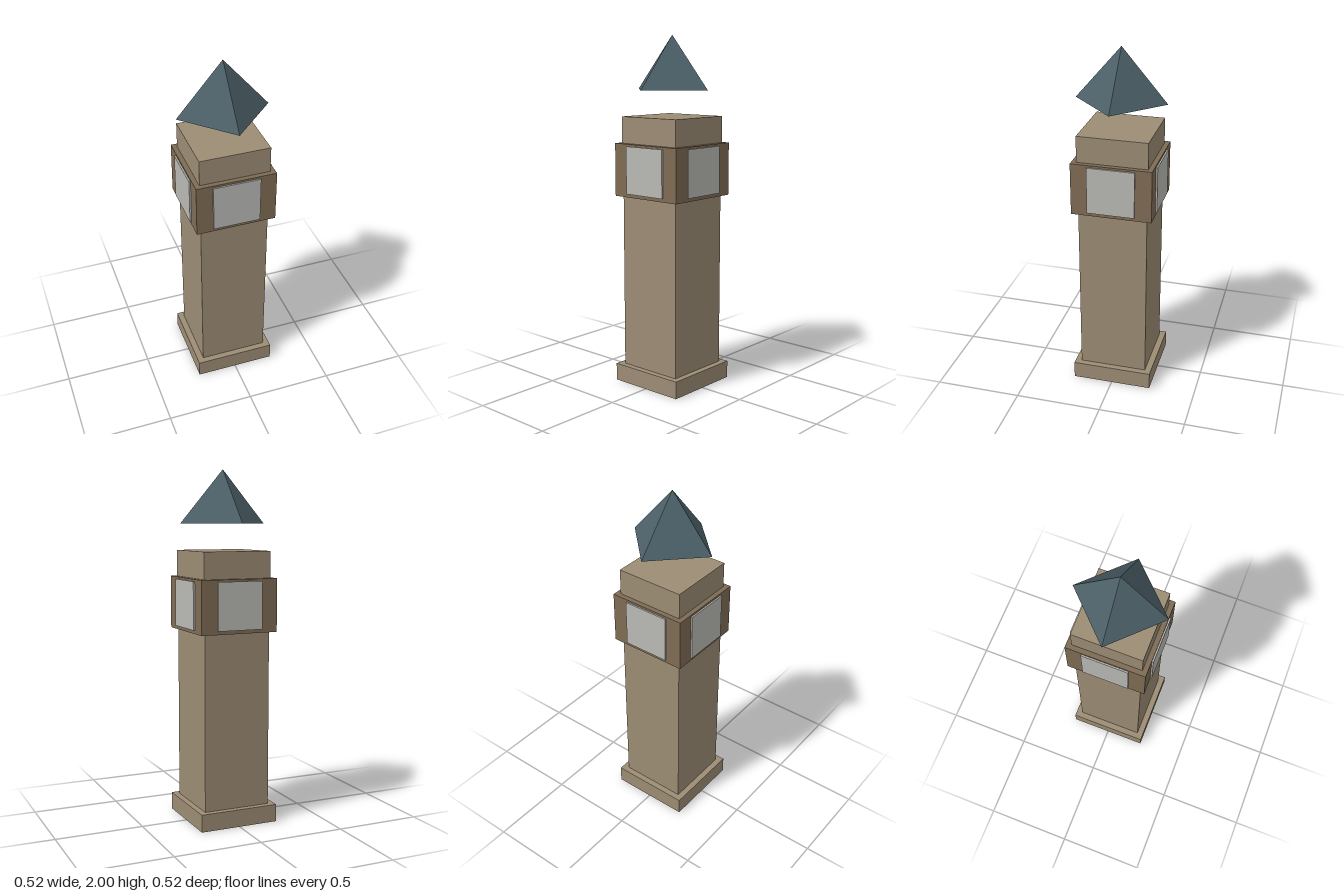
import * as THREE from 'three';

export function createModel() {
  const group = new THREE.Group();
  group.name = 'clockTower';

  const material = (color) => new THREE.MeshStandardMaterial({ color, flatShading: true });
  const stone = material(0x9c8c74);
  const darkStone = material(0x7f6c54);
  const dial = material(0xb9b9b5);
  const slate = material(0x4c6068);

  // Square block centred on the tower axis, from y0 up to y1
  function block(name, width, y0, y1, mat) {
    const mesh = new THREE.Mesh(new THREE.BoxGeometry(width, y1 - y0, width), mat);
    mesh.name = name;
    mesh.position.y = (y0 + y1) / 2;
    group.add(mesh);
  }

  block('base', 0.464, 0, 0.1, stone);
  block('shaft', 0.392, 0.1, 1.1, stone);
  block('clockStage', 0.456, 1.1, 1.4, darkStone);
  block('upperBlock', 0.4, 1.4, 1.55, stone);

  // One square clock panel on each side of the stage
  const panelGeometry = new THREE.BoxGeometry(0.268, 0.268, 0.02);
  ['front', 'left', 'back', 'right'].forEach((side, i) => {
    const angle = (i * Math.PI) / 2;
    const panel = new THREE.Mesh(panelGeometry, dial);
    panel.name = side + 'ClockPanel';
    panel.position.set(Math.sin(angle) * 0.227, 1.254, Math.cos(angle) * 0.227);
    panel.rotation.y = angle;
    group.add(panel);
  });

  // Floating pyramid roof with its corners on the x and z axes
  const roof = new THREE.Mesh(new THREE.ConeGeometry(0.258, 0.3, 4), slate);
  roof.name = 'roof';
  roof.position.y = 1.85;
  group.add(roof);

  return group;
}
